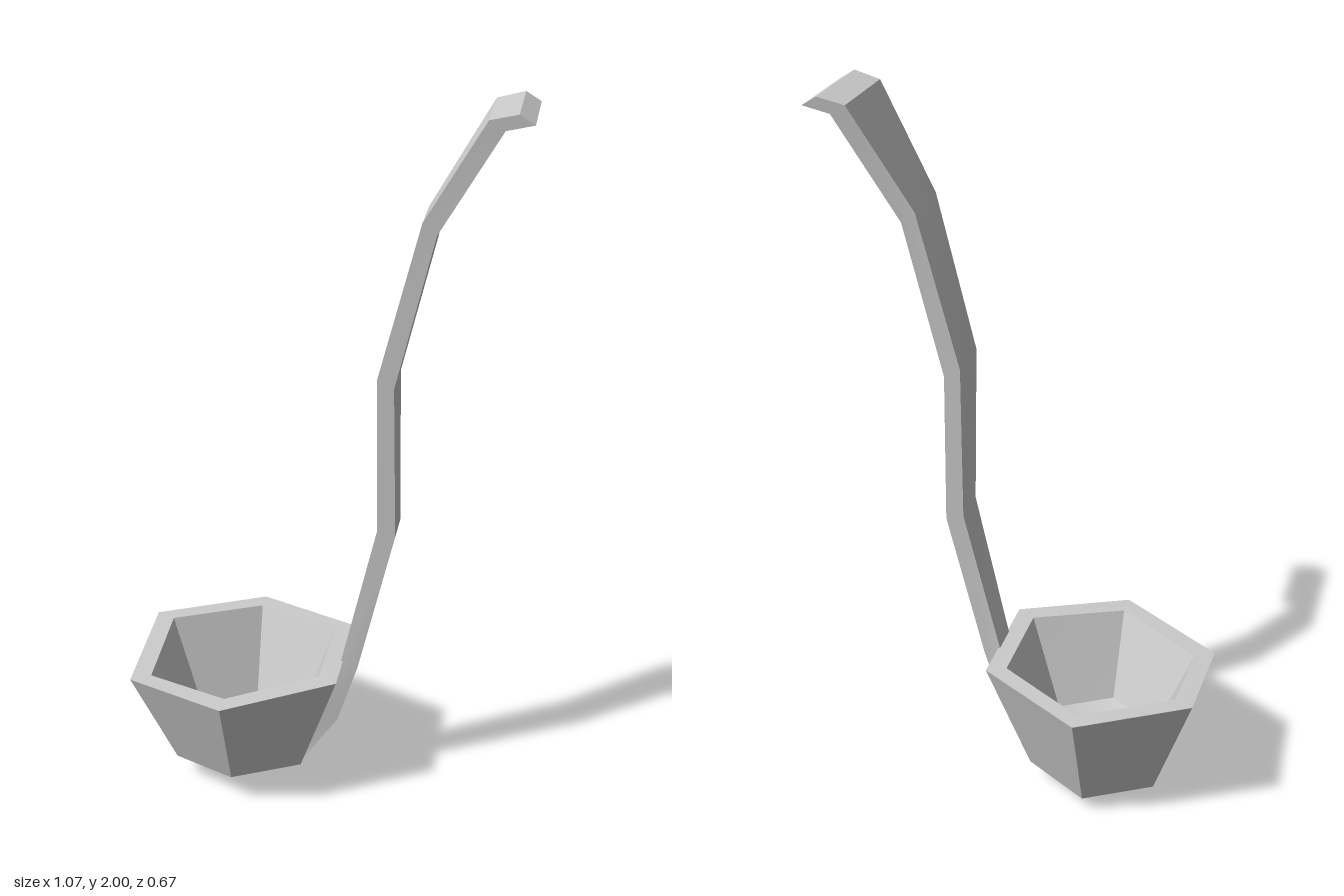
import * as THREE from 'three';
import { toCreasedNormals } from 'three/addons/utils/BufferGeometryUtils.js';

// Skins a stack of equal-length point loops; single-point loops are used to close the ends
function skin(rings, name, material) {
  const pos = [];
  const tri = (a, b, c) => {
    if (a.equals(b) || b.equals(c) || a.equals(c)) return;
    for (const p of [a, b, c]) pos.push(p.x, p.y, p.z);
  };
  for (let r = 0; r < rings.length - 1; r++) {
    const A = rings[r], B = rings[r + 1], n = A.length;
    for (let i = 0; i < n; i++) {
      const j = (i + 1) % n;
      tri(A[i], B[i], A[j]);
      tri(A[j], B[i], B[j]);
    }
  }
  const geometry = new THREE.BufferGeometry();
  geometry.setAttribute('position', new THREE.Float32BufferAttribute(pos, 3));
  const mesh = new THREE.Mesh(toCreasedNormals(geometry, THREE.MathUtils.degToRad(28)), material);
  mesh.name = name;
  return mesh;
}

const pole = (x, y, z, n) => Array.from({ length: n }, () => new THREE.Vector3(x, y, z));

// Hexagonal loop with its own height at each corner
function hexRing(radius, heights, lift = 0, zShift = 0) {
  return heights.map((y, i) => {
    const a = Math.PI / 6 + (i * Math.PI) / 3;
    return new THREE.Vector3(-0.24 + radius * Math.cos(a), y + lift, zShift + radius * 0.98 * Math.sin(a));
  });
}

export function createModel() {
  const group = new THREE.Group();
  group.name = 'ladle';
  const material = new THREE.MeshStandardMaterial({ color: 0xcccccc });

  // Bowl: outer point, outer wall, slightly uneven rim, inner wall, shallow floor
  const rim = [0.4, 0.385, 0.355, 0.39, 0.38, 0.4];
  const base = [0.08, 0.085, 0.07, 0.05, 0.045, 0.062];
  group.add(skin([
    pole(-0.24, 0.003, 0, 6),
    hexRing(0.211, base),
    hexRing(0.341, rim),
    hexRing(0.28, rim, 0, -0.003),
    hexRing(0.169, base, 0.06, -0.005),
    pole(-0.24, 0.075, 0, 6),
  ], 'bowl', material));

  // Handle stations: inner x, y, half width, then outer x, y, half width
  const stations = [
    [-0.07, 0.09, 0.08, -0.057, 0.08, 0.08],
    [-0.02, 0.205, 0.063, 0.04, 0.205, 0.047],
    [0.05, 0.4, 0.045, 0.097, 0.38, 0.045],
    [0.15, 0.825, 0.056, 0.2, 0.81, 0.056],
    [0.147, 1.275, 0.072, 0.192, 1.25, 0.072],
    [0.257, 1.705, 0.083, 0.295, 1.675, 0.083],
    [0.417, 1.982, 0.125, 0.458, 1.957, 0.125],
    [0.49, 2.0, 0.132, 0.53, 1.975, 0.132],
  ];
  const zc = -0.003;
  const loops = stations.map(([ix, iy, iw, ox, oy, ow]) => [
    new THREE.Vector3(ox, oy, zc + ow),
    new THREE.Vector3(ix, iy, zc + iw),
    new THREE.Vector3(ix, iy, zc - iw),
    new THREE.Vector3(ox, oy, zc - ow),
  ]);
  const cap = ([ix, iy, , ox, oy]) => pole((ix + ox) / 2, (iy + oy) / 2, zc, 4);
  group.add(skin([cap(stations[0]), ...loops, cap(stations.at(-1))], 'handle', material));

  return group;
}
